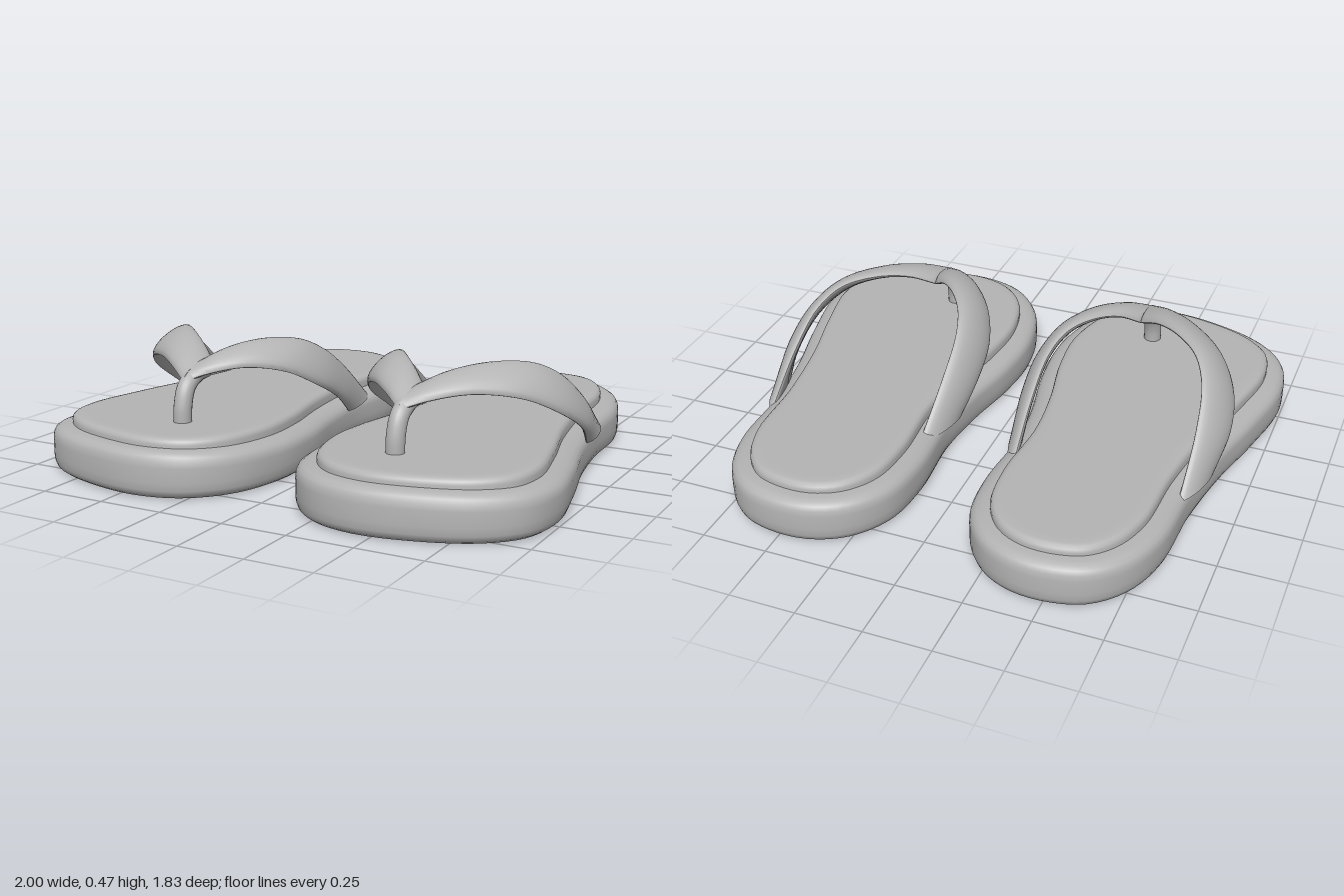
import * as THREE from 'three';
import { toCreasedNormals } from 'three/addons/utils/BufferGeometryUtils.js';

const V = (a) => new THREE.Vector3(...a);

// Closed skin over equal-length rings, capped at both ends, wound outward
function loft(rings) {
  const n = rings[0].length, pos = [], idx = [];
  rings.forEach((r) => r.forEach((p) => pos.push(p.x, p.y, p.z)));
  for (let i = 0; i < rings.length - 1; i++) {
    for (let j = 0; j < n; j++) {
      const a = i * n + j, b = i * n + (j + 1) % n;
      idx.push(a, b, a + n, b, b + n, a + n);
    }
  }
  [0, rings.length - 1].forEach((i) => {
    const c = rings[i].reduce((s, p) => s.add(p), new THREE.Vector3()).divideScalar(n);
    const k = pos.length / 3;
    pos.push(c.x, c.y, c.z);
    for (let j = 0; j < n; j++) {
      const a = i * n + j, b = i * n + (j + 1) % n;
      if (i === 0) idx.push(k, b, a); else idx.push(k, a, b);
    }
  });
  const at = (i) => new THREE.Vector3().fromArray(pos, i * 3);
  let volume = 0;
  for (let t = 0; t < idx.length; t += 3) volume += at(idx[t]).dot(at(idx[t + 1]).cross(at(idx[t + 2])));
  if (volume < 0) idx.reverse();
  const g = new THREE.BufferGeometry();
  g.setAttribute('position', new THREE.Float32BufferAttribute(pos, 3));
  g.setIndex(idx);
  return toCreasedNormals(g, 0.75);
}

// Sole outline of the left sandal as x, z
const outline = new THREE.CatmullRomCurve3([
  [0.5, -0.915], [0.65, -0.875], [0.76, -0.765], [0.825, -0.59], [0.845, -0.3], [0.89, -0.02],
  [0.955, 0.24], [1.0, 0.5], [0.965, 0.68], [0.85, 0.8], [0.66, 0.88], [0.43, 0.912],
  [0.25, 0.86], [0.12, 0.72], [0.06, 0.5], [0.07, 0.27], [0.115, 0.03], [0.138, -0.2],
  [0.122, -0.48], [0.15, -0.69], [0.24, -0.83], [0.36, -0.9],
].map(([x, z]) => new THREE.Vector3(x, 0, z)), true);

// Rings given as [inset, height, mid-foot dip]
function soleGeometry(profile, side) {
  const N = 120;
  return loft(profile.map(([inset, y, dip]) => Array.from({ length: N }, (_, i) => {
    const p = outline.getPointAt(i / N), t = outline.getTangentAt(i / N);
    const sag = dip * Math.max(0, 1 - (p.z / 0.9) ** 2);
    return new THREE.Vector3(side * (p.x - t.z * inset), y - sag, p.z + t.x * inset);
  })));
}

const baseProfile = [
  [0.04, 0, 0], [0.022, 0.003, 0], [0.008, 0.013, 0], [0.001, 0.032, 0], [0, 0.06, 0],
  [0, 0.115, 0.01], [0.003, 0.138, 0.02], [0.011, 0.154, 0.022], [0.026, 0.164, 0.022],
  [0.05, 0.168, 0.015], [0.1, 0.168, 0.01],
];
const bedProfile = [
  [0.074, 0.13, 0], [0.073, 0.178, 0], [0.077, 0.19, 0], [0.086, 0.198, 0], [0.1, 0.201, 0], [0.13, 0.201, 0],
];

// Strap edges: upper (rear) and lower (front), from the toe to the side of the sole
const outerStrap = {
  upper: [[0.44, 0.385, 0.38], [0.53, 0.435, 0.31], [0.63, 0.458, 0.22], [0.73, 0.448, 0.11],
    [0.785, 0.395, 0], [0.81, 0.29, -0.15], [0.815, 0.13, -0.36]],
  lower: [[0.44, 0.345, 0.575], [0.52, 0.372, 0.515], [0.64, 0.388, 0.415], [0.78, 0.36, 0.29],
    [0.868, 0.29, 0.16], [0.898, 0.21, 0.02], [0.872, 0.12, -0.11]],
};
const innerStrap = {
  upper: [[0.44, 0.385, 0.38], [0.37, 0.435, 0.31], [0.295, 0.455, 0.22], [0.225, 0.442, 0.11],
    [0.19, 0.39, 0], [0.182, 0.29, -0.15], [0.188, 0.13, -0.36]],
  lower: [[0.44, 0.345, 0.575], [0.375, 0.37, 0.515], [0.275, 0.385, 0.415], [0.175, 0.355, 0.29],
    [0.118, 0.285, 0.16], [0.108, 0.21, 0.02], [0.128, 0.12, -0.11]],
};

// Domed band: thick on the outside, nearly flat underneath
function strapGeometry({ upper, lower }, side) {
  const u = new THREE.CatmullRomCurve3(upper.map(V)), l = new THREE.CatmullRomCurve3(lower.map(V));
  const dir = Math.sign(upper[3][0] - upper[0][0]), steps = 48, N = 24, rings = [];
  for (let i = 0; i <= steps; i++) {
    const t = i / steps, a = u.getPoint(t), b = l.getPoint(t);
    const mid = a.clone().add(b).multiplyScalar(0.5), half = b.clone().sub(a).multiplyScalar(0.5);
    const along = u.getTangent(t).add(l.getTangent(t));
    if (i === 0) along.set(dir, 0, 0);
    const out = half.clone().cross(along).normalize().multiplyScalar(dir);
    rings.push(Array.from({ length: N }, (_, j) => {
      const w = (j / N) * Math.PI * 2, s = Math.sin(w);
      const p = mid.clone().addScaledVector(half, Math.cos(w)).addScaledVector(out, s * (s > 0 ? 0.034 : 0.014));
      p.x *= side;
      return p;
    }));
  }
  return loft(rings);
}

function toePostGeometry(side) {
  const path = new THREE.CatmullRomCurve3(
    [[0.437, 0.16, 0.59], [0.437, 0.26, 0.585], [0.438, 0.325, 0.558], [0.44, 0.362, 0.49], [0.44, 0.368, 0.44]]
      .map(([x, y, z]) => new THREE.Vector3(side * x, y, z)));
  return new THREE.TubeGeometry(path, 28, 0.034, 20);
}

export function createModel() {
  const grey = new THREE.MeshStandardMaterial({ color: 0xb4b4b4 });
  grey.name = 'grey rubber';
  const model = new THREE.Group();
  model.name = 'flipFlops';
  for (const side of [1, -1]) {
    const sandal = new THREE.Group();
    sandal.name = side > 0 ? 'leftSandal' : 'rightSandal';
    const add = (name, geometry) => {
      const mesh = new THREE.Mesh(geometry, grey);
      mesh.name = name;
      sandal.add(mesh);
    };
    add('sole', soleGeometry(baseProfile, side));
    add('footbed', soleGeometry(bedProfile, side));
    add('outerStrap', strapGeometry(outerStrap, side));
    add('innerStrap', strapGeometry(innerStrap, side));
    add('toePost', toePostGeometry(side));
    model.add(sandal);
  }
  return model;
}
